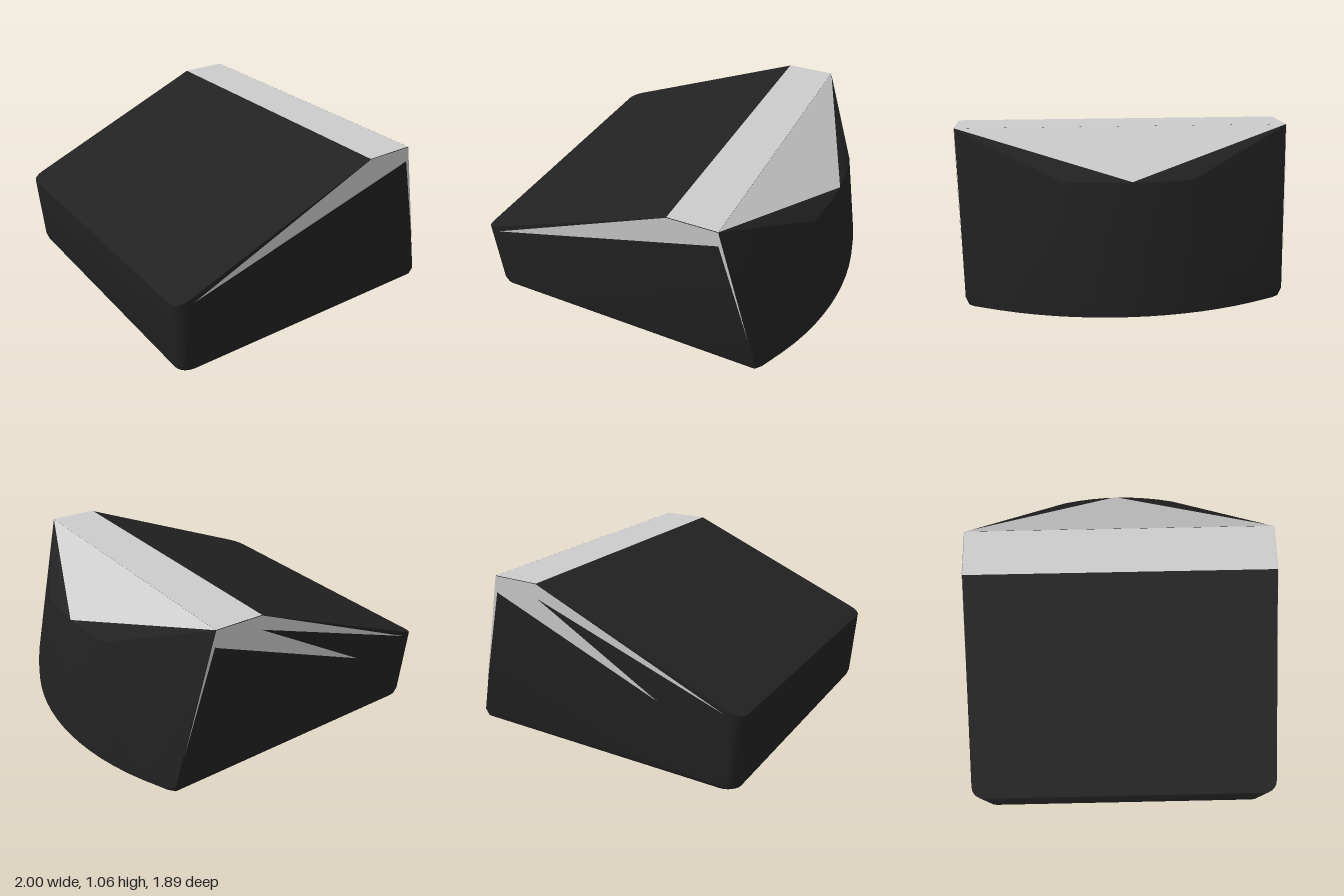
import * as THREE from 'three';
import { ConvexGeometry } from 'three/addons/geometries/ConvexGeometry.js';
import { toCreasedNormals } from 'three/addons/utils/BufferGeometryUtils.js';

const dark = new THREE.MeshStandardMaterial({ color: 0x222222 });
const grey = new THREE.MeshStandardMaterial({ color: 0xcccccc, side: THREE.DoubleSide });

// The side walls lean slightly outward with height
const sideZ = (y) => 0.9 + (y - 0.15) * 0.045;

// Thin flat panel, fanned from its first corner
function panel(name, corners) {
  const points = [];
  for (let i = 1; i < corners.length - 1; i++) points.push(...corners[0], ...corners[i], ...corners[i + 1]);
  const geometry = new THREE.BufferGeometry();
  geometry.setAttribute('position', new THREE.Float32BufferAttribute(points, 3));
  geometry.computeVertexNormals();
  const mesh = new THREE.Mesh(geometry, grey);
  mesh.name = name;
  return mesh;
}

// Panel lying on the front (1) or back (-1) wall; corners run counter-clockwise from the front
function sidePanel(name, side, corners) {
  const list = corners.map(([x, y]) => [x, y, side * (sideZ(y) + 0.003)]);
  return panel(name, side > 0 ? list : list.reverse());
}

function createBody() {
  const pts = [];
  const add = (x, y, z) => pts.push(new THREE.Vector3(x, y, z));
  for (const s of [1, -1]) {
    // Ridge and side wall
    add(0.25, 1.06, s * sideZ(1.06));
    add(0.54, 1.06, s * sideZ(1.06));
    add(0.76, 0.15, s * 0.897);
    add(0.75, 0.1, s * 0.88);
    add(0.78, 0.1, s * 0.845);
    // Rounded low corners
    const r = 0.07;
    for (let i = 0; i <= 5; i++) {
      const a = (i / 5) * Math.PI / 2;
      const c = 1 - Math.cos(a), d = 1 - Math.sin(a);
      add(-0.995 + r * c, 0.56 + 0.4 * r * c, s * (sideZ(0.56) - r * d));
      add(-0.975 + r * c, 0.16, s * (0.9 - r * d));
      add(-0.965 + r * c, 0.128, s * (0.893 - r * d));
      add(-0.94 + r * c, 0.108, s * (0.875 - r * d));
    }
    add(-0.62, 0, s * 0.04);
  }
  // Bowed end wall
  const bow = (z) => 1.7 - Math.sqrt(1.7 * 1.7 - z * z);
  for (let i = -8; i <= 8; i++) {
    const z = i * 0.1;
    add(1 - bow(z), 0.1, z);
    add(0.998 - bow(z), 0.17, z);
    if (Math.abs(i) <= 4) add(0.9 - bow(z * 0.875), 0.82, z * 0.875);
  }
  return new THREE.Mesh(toCreasedNormals(new ConvexGeometry(pts), 0.35), dark);
}

export function createModel() {
  const group = new THREE.Group();
  const body = createBody();
  body.name = 'body';
  group.add(body);

  // Ridge strip and the sloping triangle below it
  const w = sideZ(1.06);
  group.add(panel('ridgeStrip', [[0.25, 1.062, w], [0.54, 1.062, w], [0.54, 1.062, -w], [0.25, 1.062, -w]]));
  group.add(panel('slopePanel', [[0.541, 1.062, w], [0.902, 0.823, -0.02], [0.541, 1.062, -w]]));

  // Wedge trim on the side walls
  group.add(sidePanel('frontTrim', 1, [[0.54, 1.06], [0.25, 1.06], [-0.9, 0.565], [0.54, 0.97]]));
  group.add(sidePanel('backUpperTrim', -1, [[0.54, 1.06], [0.25, 1.06], [-0.9, 0.57], [0.25, 0.975]]));
  group.add(sidePanel('backLowerTrim', -1, [[0.54, 1.06], [0.25, 0.975], [-0.51, 0.54], [0.54, 0.96]]));
  for (const s of [1, -1]) group.add(sidePanel('cornerTrim', s, [[0.54, 1.06], [0.54, 0.97], [0.715, 0.33]]));
  return group;
}
